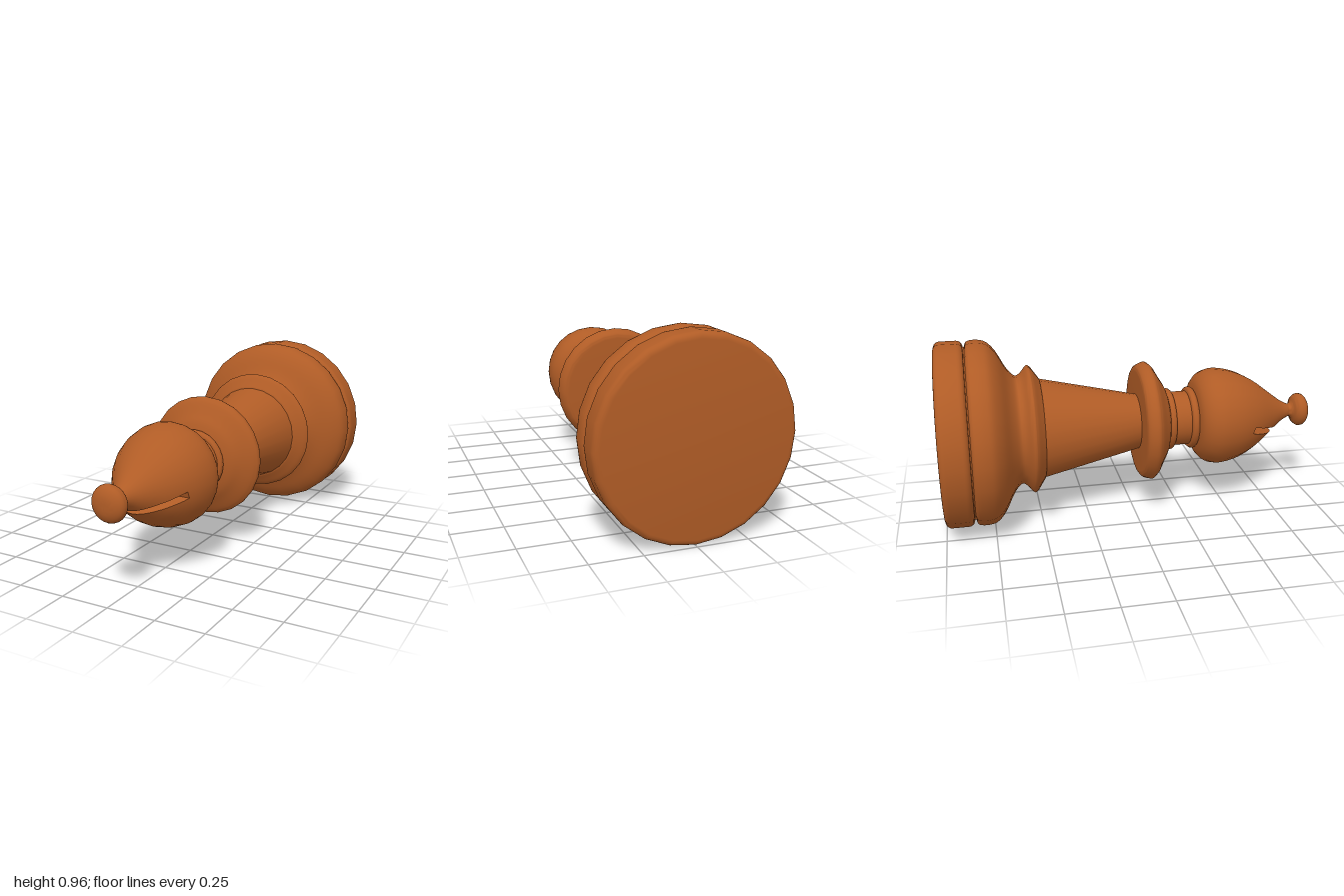
import * as THREE from 'three';
import { toCreasedNormals } from 'three/addons/utils/BufferGeometryUtils.js';

const SIDES = 24, AXIS_Y = 0.478;
const wood = new THREE.MeshStandardMaterial({ color: 0xb05c26 });
const woodBothSides = new THREE.MeshStandardMaterial({ color: 0xb05c26, side: THREE.DoubleSide });

const pts = (list) => list.map(([r, z]) => new THREE.Vector2(r, z));

// smooth profile through [radius, z] points
function curve(list, n) {
  return new THREE.SplineCurve(pts(list)).getPoints(n)
    .map((p) => new THREE.Vector2(Math.max(p.x, 0), p.y));
}

// turned shape around the z axis
function turn(profile) {
  return new THREE.LatheGeometry(profile, SIDES).rotateX(Math.PI / 2);
}

// turned solid, closed at both ends, with crisp edges kept
function turned(name, profile) {
  const first = profile[0], last = profile[profile.length - 1];
  const closed = [...profile];
  if (first.x > 0) closed.unshift(new THREE.Vector2(0, first.y));
  if (last.x > 0) closed.push(new THREE.Vector2(0, last.y));
  const mesh = new THREE.Mesh(toCreasedNormals(turn(closed), 0.75), wood);
  mesh.name = name;
  return mesh;
}

// disc or ring with rounded rims
function roundedDisc(name, r, z0, z1, round) {
  const p = [];
  for (const [zc, start] of [[z0 + round, -Math.PI / 2], [z1 - round, 0]]) {
    for (let i = 0; i <= 5; i++) {
      const a = start + (i / 5) * Math.PI / 2;
      p.push(new THREE.Vector2(r - round + round * Math.cos(a), zc + round * Math.sin(a)));
    }
  }
  return turned(name, p);
}

// cut a polygon of {p, n} corners, keeping the side where dist >= 0
function clip(poly, dist) {
  const out = [];
  poly.forEach((a, i) => {
    const b = poly[(i + 1) % poly.length], da = dist(a.p), db = dist(b.p);
    if (da >= 0) out.push(a);
    if ((da >= 0) !== (db >= 0)) {
      const t = da / (da - db);
      out.push({ p: a.p.clone().lerp(b.p, t), n: a.n.clone().lerp(b.n, t).normalize() });
    }
  });
  return out;
}

// pointed head with a slanted slot cut right across it
function slottedHead() {
  const group = new THREE.Group();
  group.name = 'head';
  const src = turn(curve([[0.14, 0.338], [0.2, 0.353], [0.243, 0.395], [0.26, 0.46], [0.24, 0.565],
    [0.188, 0.67], [0.105, 0.78], [0.06, 0.84], [0.036, 0.885]], 32)).toNonIndexed();

  // slot frame: floor centre, slope and half thickness
  const slope = 0.35, half = 0.0175, cz = 0.626, cy = 0.453 - AXIS_Y;
  const along = (p) => (p.z - cz) * Math.cos(slope) - (p.y - cy) * Math.sin(slope);
  const up = (p) => (p.z - cz) * Math.sin(slope) + (p.y - cy) * Math.cos(slope);
  const top = (p) => half - up(p), bottom = (p) => up(p) + half;

  const pos = [], nor = [], wall = [];
  const emit = (poly) => {
    for (let i = 1; i + 1 < poly.length; i++) {
      for (const v of [poly[0], poly[i], poly[i + 1]]) {
        pos.push(...v.p.toArray());
        nor.push(...v.n.toArray());
      }
    }
  };
  const P = src.attributes.position, N = src.attributes.normal;
  for (let i = 0; i < P.count; i += 3) {
    const tri = [0, 1, 2].map((k) => ({
      p: new THREE.Vector3().fromBufferAttribute(P, i + k),
      n: new THREE.Vector3().fromBufferAttribute(N, i + k),
    }));
    emit(clip(tri, (p) => -top(p)));
    emit(clip(tri, (p) => -bottom(p)));
    const band = clip(clip(tri, top), bottom);
    emit(clip(band, (p) => -along(p)));

    // slot walls: join each cut edge to its mirror image across x = 0
    const removed = clip(band, along);
    removed.forEach((a, k) => {
      const p = a.p, q = removed[(k + 1) % removed.length].p;
      if (p.x + q.x <= 1e-6 || p.distanceTo(q) < 1e-7) return;
      if (![top, bottom, along].some((f) => Math.abs(f(p)) < 1e-6 && Math.abs(f(q)) < 1e-6)) return;
      wall.push(p.x, p.y, p.z, q.x, q.y, q.z, -q.x, q.y, q.z);
      wall.push(p.x, p.y, p.z, -q.x, q.y, q.z, -p.x, p.y, p.z);
    });
  }
  const shellGeo = new THREE.BufferGeometry();
  shellGeo.setAttribute('position', new THREE.Float32BufferAttribute(pos, 3));
  shellGeo.setAttribute('normal', new THREE.Float32BufferAttribute(nor, 3));
  const shell = new THREE.Mesh(shellGeo, wood);
  shell.name = 'headShell';

  const wallGeo = new THREE.BufferGeometry();
  wallGeo.setAttribute('position', new THREE.Float32BufferAttribute(wall, 3));
  wallGeo.computeVertexNormals();
  const walls = new THREE.Mesh(wallGeo, woodBothSides);
  walls.name = 'slotWalls';
  group.add(shell, walls);
  return group;
}

export function createModel() {
  const model = new THREE.Group();
  model.name = 'chessPiece';

  const piece = new THREE.Group();
  piece.name = 'turnedBody';
  piece.position.y = AXIS_Y;
  model.add(piece);

  piece.add(
    roundedDisc('baseDisc', 0.478, -1, -0.853, 0.032),
    turned('baseCore', pts([[0.445, -0.87], [0.445, -0.83]])),
    // bell-shaped plinth with a flared lip
    turned('plinth', curve([[0.445, -0.847], [0.468, -0.838], [0.477, -0.815], [0.477, -0.775],
      [0.462, -0.733], [0.413, -0.69], [0.33, -0.645], [0.285, -0.605], [0.295, -0.575],
      [0.332, -0.542], [0.325, -0.522], [0.29, -0.497], [0.266, -0.48]], 48)),
    turned('stem', pts([[0.262, -0.49], [0.144, 0.04]])),
    // wide collar under the neck
    turned('collar', curve([[0.268, 0.03], [0.29, 0.034], [0.308, 0.055], [0.315, 0.088],
      [0.295, 0.112], [0.24, 0.145], [0.2, 0.17], [0.16, 0.185]], 24)),
    roundedDisc('lowerRing', 0.165, 0.18, 0.22, 0.018),
    turned('neck', pts([[0.145, 0.17], [0.145, 0.345]])),
    roundedDisc('upperRing', 0.167, 0.303, 0.343, 0.018),
    slottedHead(),
    // waisted finial ending in a ball
    turned('finial', curve([[0.04, 0.877], [0.034, 0.893], [0.045, 0.908], [0.075, 0.922],
      [0.09, 0.948], [0.08, 0.976], [0.045, 0.995], [0, 1]], 24)),
  );
  return model;
}
